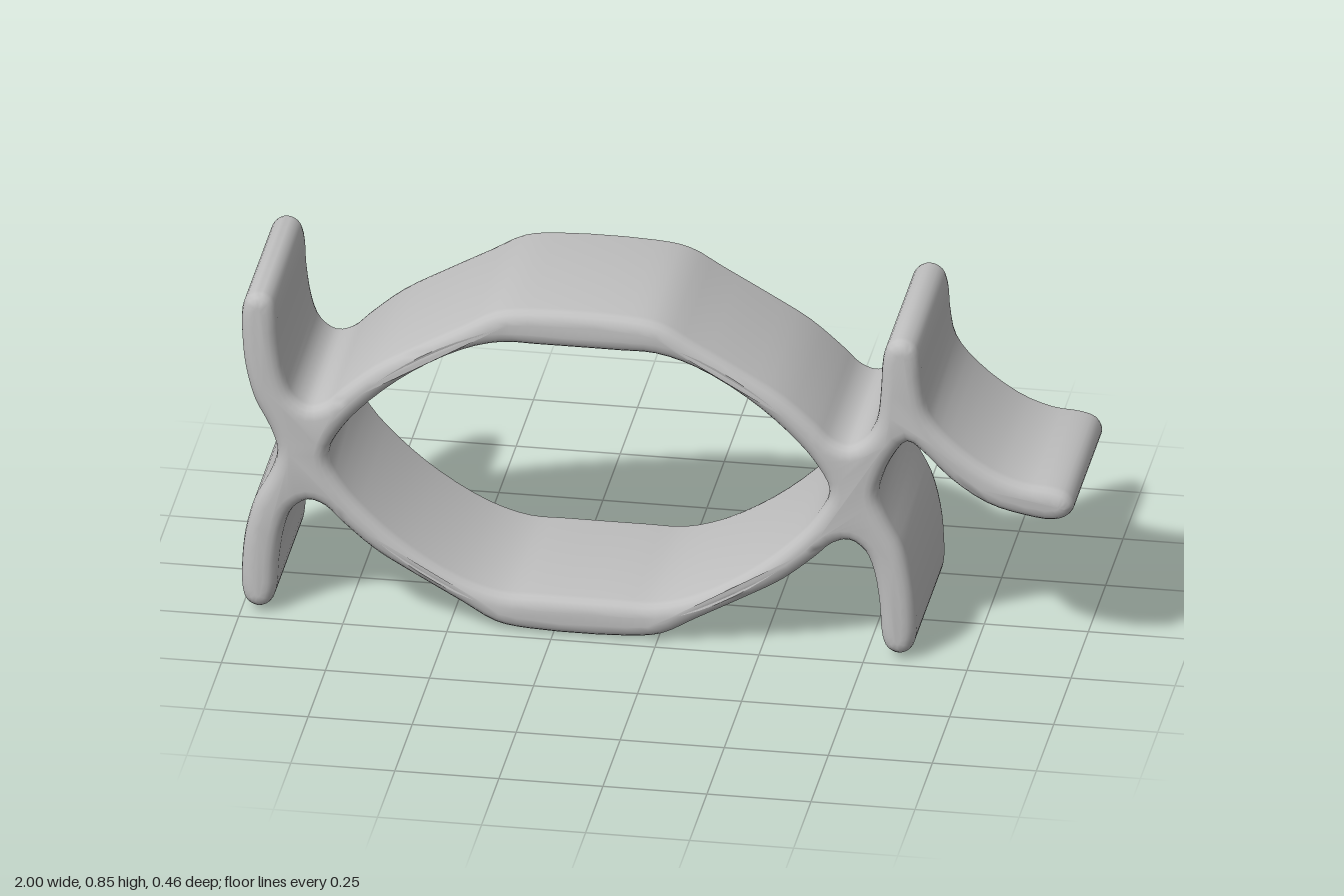
import * as THREE from 'three';
import { toCreasedNormals } from 'three/addons/utils/BufferGeometryUtils.js';

const CX = -0.19, CY = 0.425, DEPTH = 0.46, ROUND = 0.032;

// Closed smooth outline through a few points
function smoothLoop(points, steps) {
  const curve = new THREE.CatmullRomCurve3(
    points.map(([x, y]) => new THREE.Vector3(x, y, 0)), true, 'centripetal');
  return curve.getPoints(points.length * steps).slice(0, -1)
    .map((p) => new THREE.Vector2(p.x, p.y));
}

// Mirror a quarter profile about the centre of the ring
const place = (pts, sx, sy) => pts.map(([u, v]) => [CX + sx * u, CY + sy * v]);

export function createModel() {
  const group = new THREE.Group();
  const grey = new THREE.MeshStandardMaterial({ color: 0xc0c0c0 });
  grey.name = 'light grey';

  // Prong: from beside the waist, around the tip and into the crotch
  const prong = [
    [0.742, 0.06], [0.78, 0.135], [0.802, 0.22], [0.81, 0.3], [0.809, 0.37],
    [0.797, 0.402], [0.77, 0.415], [0.742, 0.403], [0.728, 0.37],
    [0.722, 0.29], [0.708, 0.2], [0.687, 0.15],
  ];
  // Outer side of the ring, from the crotch to the flat middle
  const arc = [
    [0.65, 0.125], [0.61, 0.137], [0.57, 0.175], [0.49, 0.243],
    [0.39, 0.303], [0.28, 0.365], [0.2, 0.41], [0.12, 0.423],
  ];
  const quarter = [...prong, ...arc];

  // Hooked prong with its side arm
  const hook = [
    [0.54, 0.475], [0.565, 0.53], [0.6, 0.572], [0.64, 0.545], [0.7, 0.485],
    [0.79, 0.425], [0.88, 0.4], [0.955, 0.394], [0.99, 0.412], [1.0, 0.437],
    [0.985, 0.465], [0.95, 0.478], [0.88, 0.485], [0.8, 0.515], [0.7, 0.59],
    [0.65, 0.655], [0.635, 0.73], [0.63, 0.79], [0.616, 0.828], [0.585, 0.842],
    [0.555, 0.828], [0.541, 0.79], [0.535, 0.7], [0.525, 0.62], [0.5, 0.575],
  ];

  const outline = [
    [0.53, CY], ...hook, ...place(arc, 1, 1),
    ...place(quarter, -1, 1).reverse(), [-0.915, CY],
    ...place(quarter, -1, -1), ...place(quarter, 1, -1).reverse(),
  ];

  // Lens-shaped opening
  const side = [[0.57, 0.07], [0.5, 0.15], [0.4, 0.233], [0.28, 0.302], [0.185, 0.33], [0.1, 0.331]];
  const opening = [
    [CX + 0.602, CY], ...place(side, 1, 1), ...place(side, -1, 1).reverse(),
    [CX - 0.602, CY], ...place(side, -1, -1), ...place(side, 1, -1).reverse(),
  ];

  const shape = new THREE.Shape(smoothLoop(outline, 3));
  shape.holes.push(new THREE.Path(smoothLoop(opening, 3).reverse()));

  // Band extruded across its width, with rounded rims
  const geometry = new THREE.ExtrudeGeometry(shape, {
    depth: DEPTH - 2 * ROUND, bevelEnabled: true, bevelThickness: ROUND,
    bevelSize: ROUND, bevelOffset: -ROUND, bevelSegments: 4,
  });
  geometry.translate(0, 0, -DEPTH / 2 + ROUND);

  const band = new THREE.Mesh(toCreasedNormals(geometry, 0.8), grey);
  band.name = 'prongedBand';
  group.add(band);
  return group;
}
